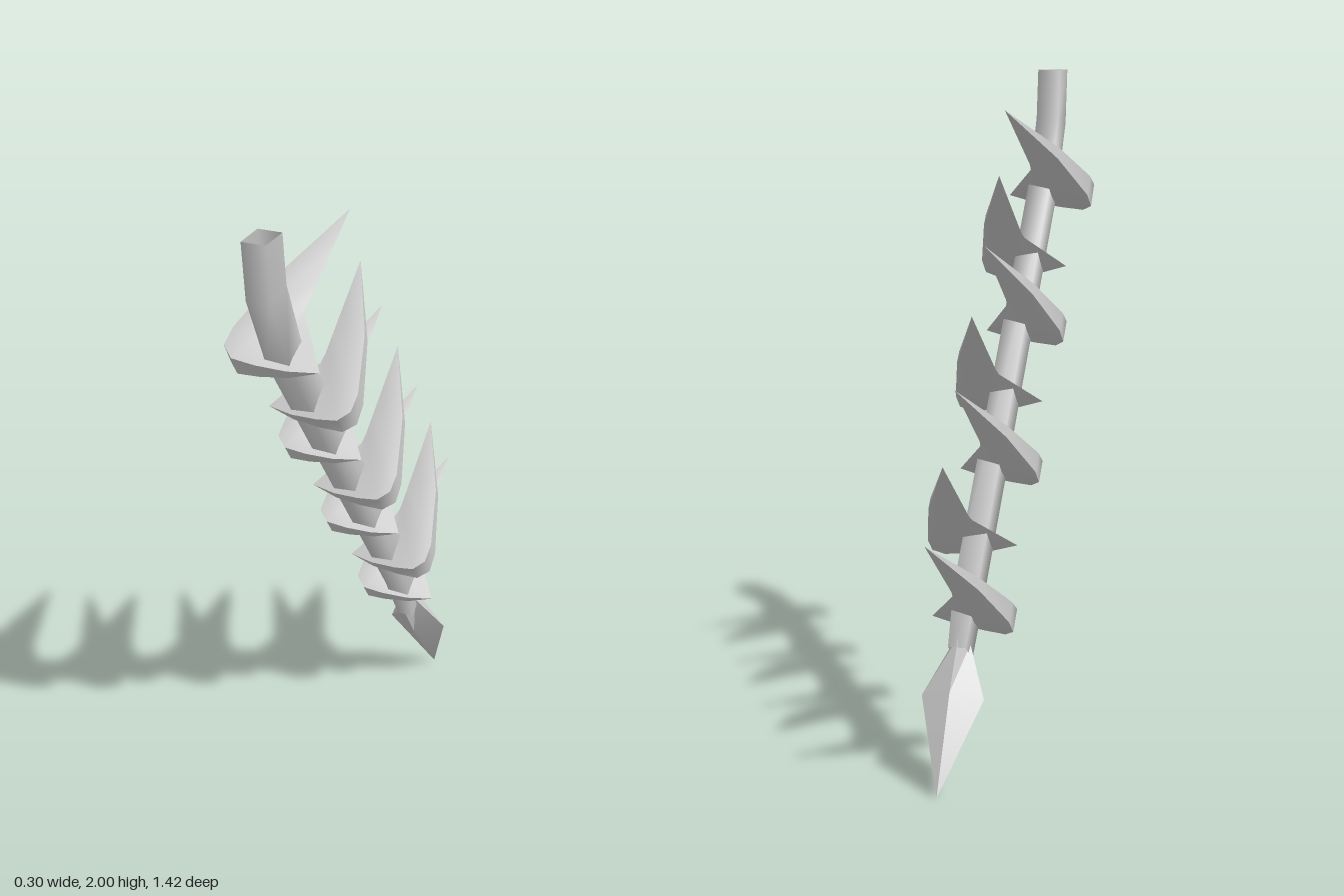
import * as THREE from 'three';
import { toCreasedNormals } from 'three/addons/utils/BufferGeometryUtils.js';

const material = new THREE.MeshStandardMaterial({ color: 0xcccccc, side: THREE.DoubleSide });
const LEAN = 0.6435; // lean of the stem about x
const CX = 0.005;    // centre line of the stem in x

// Skin a list of equal-sized closed rings of [x, y, z] points, facing outwards.
function loft(rings) {
  const n = rings[0].length;
  const pts = rings.flat();
  const index = [];
  for (let r = 0; r < rings.length - 1; r++) {
    for (let i = 0; i < n; i++) {
      const a = r * n + i, b = r * n + (i + 1) % n;
      index.push(a, b, b + n, a, b + n, a + n);
    }
  }
  // Signed volume tells whether the faces point inwards
  const v = pts.map((p) => new THREE.Vector3(...p));
  const centre = v.reduce((s, p) => s.add(p), new THREE.Vector3()).divideScalar(v.length);
  v.forEach((p) => p.sub(centre));
  let volume = 0;
  for (let i = 0; i < index.length; i += 3) {
    volume += v[index[i]].dot(v[index[i + 1]].clone().cross(v[index[i + 2]]));
  }
  if (volume < 0) index.reverse();
  const geometry = new THREE.BufferGeometry();
  geometry.setAttribute('position', new THREE.Float32BufferAttribute(pts.flat(), 3));
  geometry.setIndex(index);
  geometry.computeVertexNormals();
  return geometry;
}

// Four-sided ring around the stem: unit corners scaled by half width and half depth
function stemRing([z, y, halfWidth, halfDepth, angle], corners) {
  return corners.map(([u, w]) => [
    CX + u * halfWidth,
    y + w * halfDepth * Math.sin(angle),
    z + w * halfDepth * Math.cos(angle),
  ]);
}

const SQUARE = [[-1, -1], [1, -1], [1, 1], [-1, 1]];
const DIAMOND = [[0, -1], [1, 0], [0, 1], [-1, 0]];

// Hooked thorn sections: outer x, outer z, inner x, inner z, half thickness
const THORN = [
  [0.108, 0.04, 0.108, 0.04, 0],
  [0.03, 0.06, 0.055, -0.045, 0.016],
  [-0.05, 0.065, 0.008, -0.12, 0.028],
  [-0.112, 0.062, 0.004, -0.15, 0.038],
  [-0.143, 0.03, 0.004, -0.18, 0.042],
  [-0.143, -0.03, 0.004, -0.22, 0.036],
  [-0.095, -0.22, 0.004, -0.32, 0.02],
  [0.004, -0.461, 0.004, -0.461, 0],
];

function thornGeometry(side) {
  const rings = THORN.map(([ox, oz, ix, iz, t]) => {
    const mx = THREE.MathUtils.lerp(ox, ix, 0.35), mz = THREE.MathUtils.lerp(oz, iz, 0.35);
    return [
      [ox * side, t * 0.85, oz],
      [mx * side, t * 0.9, mz],
      [ix * side, 0, iz],
      [mx * side, -t * 0.9, mz],
      [ox * side, -t * 0.85, oz],
    ];
  });
  return toCreasedNormals(loft(rings), 0.8);
}

export function createModel() {
  const model = new THREE.Group();
  const add = (name, geometry) => {
    const mesh = new THREE.Mesh(geometry, material);
    mesh.name = name;
    model.add(mesh);
    return mesh;
  };

  // Stem, open at the top, bending once near its upper end
  add('stem', loft([
    [0.66, 2.0, 0.035, 0.05, 0],
    [0.64, 1.84, 0.035, 0.05, -0.2],
    [0.545, 1.64, 0.035, 0.045, -LEAN],
    [-0.3, 0.515, 0.035, 0.043, -LEAN],
    [-0.385, 0.36, 0.026, 0.043, -LEAN],
  ].map((r) => stemRing(r, SQUARE))));

  // Pointed head at the lower end
  add('spearhead', toCreasedNormals(loft([
    [-0.37, 0.385, 0.026, 0.045, -LEAN],
    [-0.46, 0.25, 0.092, 0.04, -LEAN],
    [-0.62, 0.005, 0, 0, -LEAN],
  ].map((r) => stemRing(r, DIAMOND))), 0.6));

  // Thorns along the stem, alternating sides; the top one is larger and tilted
  for (let i = 0; i < 7; i++) {
    const along = i === 0 ? 0.89 : 0.634 - (i - 1) * 0.239;
    const thorn = add('thorn' + (i + 1), thornGeometry(i % 2 ? -1 : 1));
    thorn.position.set(CX, 0.915 + along * 0.8, along * 0.6);
    thorn.rotation.x = LEAN - (i === 0 ? 0.1 : 0);
    if (i === 0) thorn.scale.setScalar(1.09);
  }
  return model;
}
